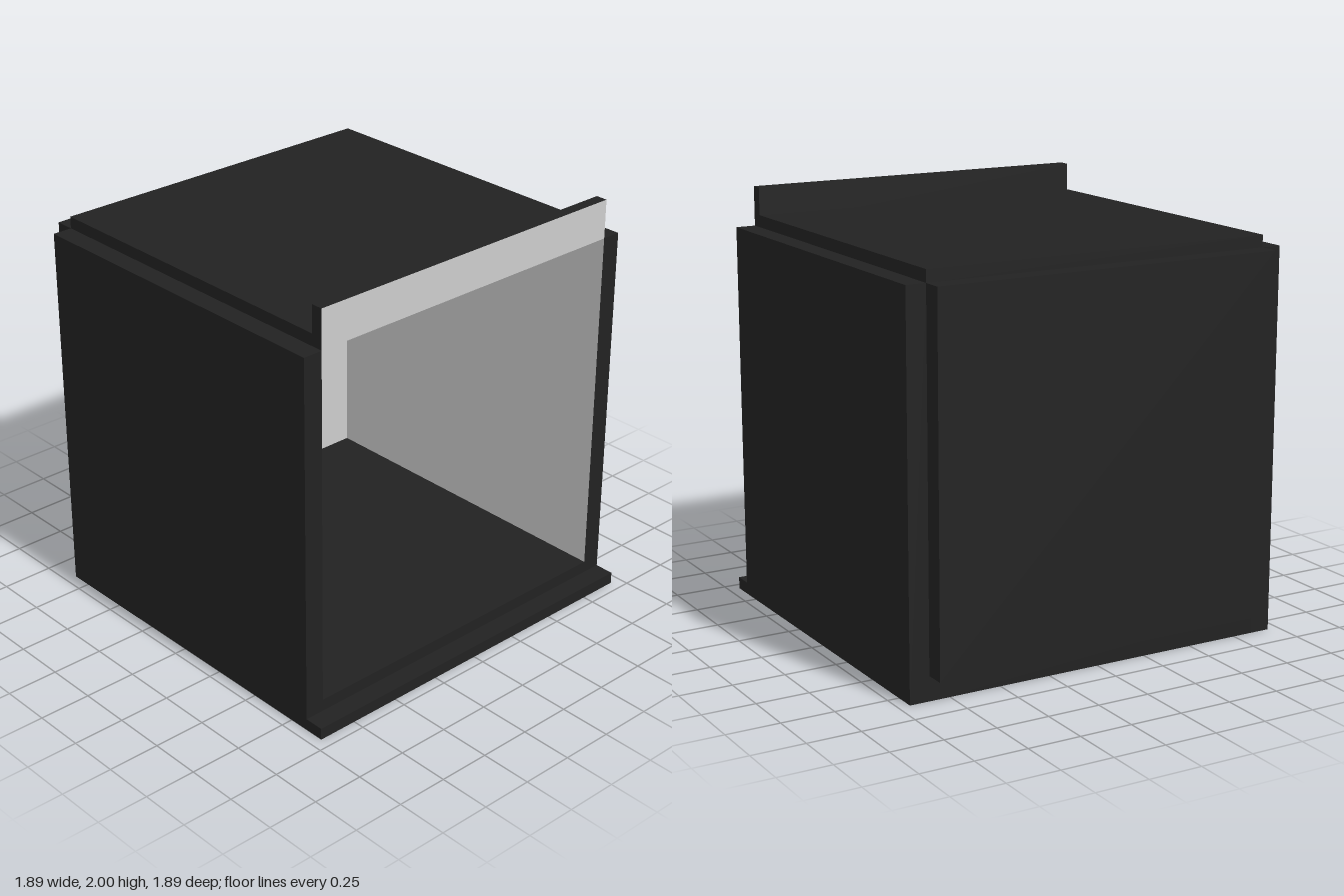
import * as THREE from 'three';

const black = new THREE.MeshStandardMaterial({ color: 0x222222 });
black.name = 'black board';
const white = new THREE.MeshStandardMaterial({ color: 0xcccccc });
white.name = 'pale lining';

// Face order of a box: +x, -x, +y, -y, +z, -z
const FACES = ['+x', '-x', '+y', '-y', '+z', '-z'];

// Board between two corners, black except for one optional pale face
function board(name, min, max, paleFace) {
  const size = max.map((v, i) => v - min[i]);
  const geometry = new THREE.BoxGeometry(...size);
  const materials = FACES.map((f) => (f === paleFace ? white : black));
  const mesh = new THREE.Mesh(geometry, paleFace ? materials : black);
  mesh.position.set(...min.map((v, i) => (v + max[i]) / 2));
  mesh.name = name;
  return mesh;
}

export function createModel() {
  const model = new THREE.Group();
  model.name = 'openBox';

  const inner = 0.85; // half width of the inside
  const outer = 0.945; // half width over the walls
  const floorTop = 0.115;
  const wallTop = 1.813;
  const roofTop = 1.87;

  model.add(
    // Floor: thick base with a thin lip reaching forward
    board('floor', [-inner, 0, -inner], [inner, floorTop, inner]),
    board('floorLip', [-outer, 0, inner], [outer, 0.057, outer]),

    // Walls, pale on the inside
    board('leftWall', [inner, 0, -inner], [outer, wallTop, inner], '-x'),
    board('rightWall', [-outer, 0, -inner], [-inner, wallTop, inner], '+x'),
    board('backWall', [-inner, floorTop, -outer], [inner, wallTop, -inner], '+z'),

    // Roof with a pale ceiling, bent upward at the front
    board('roof', [-inner, wallTop, -inner], [inner, roofTop, 0.793], '-y'),
    board('roofLip', [-inner, wallTop, 0.793], [inner, 2, inner], '+z'),
  );
  return model;
}
